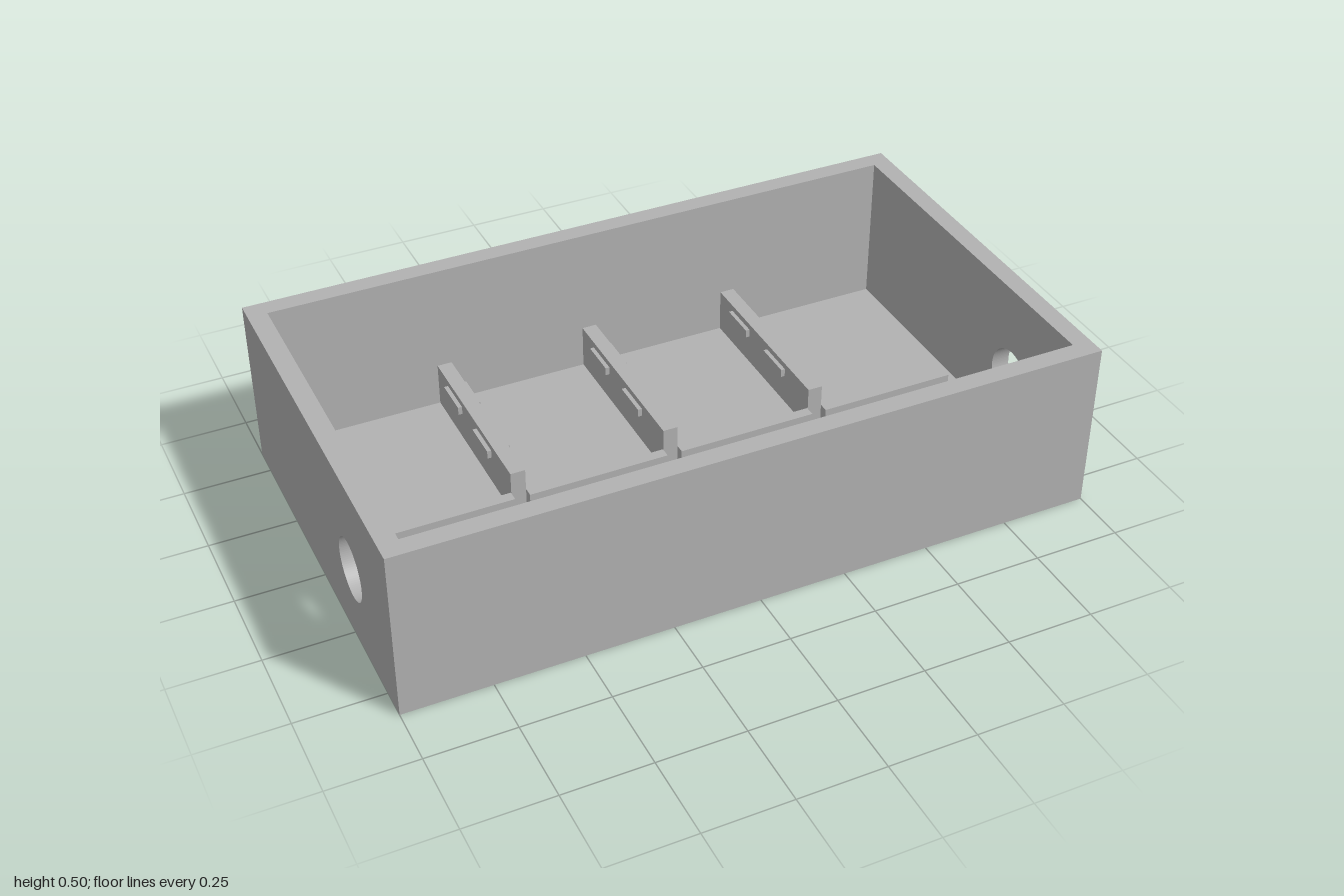
import * as THREE from 'three';

const W = 2, D = 1.17, H = 0.5, T = 0.055; // outer size and wall thickness

export function createModel() {
  const model = new THREE.Group();
  model.name = 'openBox';
  const grey = new THREE.MeshStandardMaterial({ color: 0xb2b2b2 });
  grey.name = 'plain grey';

  const add = (name, geometry, x = 0, y = 0, z = 0) => {
    const mesh = new THREE.Mesh(geometry, grey);
    mesh.name = name;
    mesh.position.set(x, y, z);
    model.add(mesh);
    return mesh;
  };
  // Box given by its limits on each axis
  const block = (name, x0, x1, y0, y1, z0, z1) =>
    add(name, new THREE.BoxGeometry(x1 - x0, y1 - y0, z1 - z0), (x0 + x1) / 2, (y0 + y1) / 2, (z0 + z1) / 2);
  // Rectangular plate with round holes [x, y, radius]
  const plate = (x0, x1, y0, y1, holes) => {
    const shape = new THREE.Shape([[x0, y0], [x1, y0], [x1, y1], [x0, y1]].map(p => new THREE.Vector2(...p)));
    for (const [x, y, r] of holes) shape.holes.push(new THREE.Path().absarc(x, y, r, 0, Math.PI * 2, true));
    return new THREE.ExtrudeGeometry(shape, { depth: T, bevelEnabled: false, curveSegments: 48 });
  };

  // Floor with two countersunk screw holes
  const screwX = 0.645, screwZ = 0.29, rTop = 0.124, rBottom = 0.067;
  const inX = W / 2 - T, inZ = D / 2 - T;
  const floor = plate(-inX, inX, -inZ, inZ, [[-screwX, -screwZ, rTop], [screwX, -screwZ, rTop]]);
  add('floor', floor.rotateX(-Math.PI / 2));
  for (const x of [-screwX, screwX]) {
    const cone = [new THREE.Vector2(rTop, T), new THREE.Vector2(rBottom, 0)];
    add('countersink', new THREE.LatheGeometry(cone, 48), x, 0, screwZ);
    add('countersinkUnderside', new THREE.RingGeometry(rBottom, rTop, 48).rotateX(Math.PI / 2), x, 0, screwZ);
  }

  // Side walls, each with a round cable hole
  for (const [name, x] of [['rightWall', -W / 2], ['leftWall', inX]]) {
    const wall = plate(-D / 2, D / 2, 0, H, [[-0.265, 0.222, 0.0875]]);
    add(name, wall.rotateY(Math.PI / 2), x);
  }
  block('frontWall', -inX, inX, 0, H, inZ, D / 2);
  block('backWall', -inX, inX, 0, H, -D / 2, -inZ);

  // Dividers with small grip ridges on both faces
  const half = 0.0215, dividers = [-0.454, 0, 0.454];
  for (const x of dividers) {
    block('divider', x - half, x + half, T, 0.185, -inZ, 0.03);
    for (const z of [-0.392, -0.168])
      for (const s of [-1, 1])
        add('gripRidge', new THREE.BoxGeometry(0.012, 0.024, 0.112), x + s * (half + 0.006), 0.155, z);
  }

  // Low stop ledge in front of the bays
  const ends = [-0.882, ...dividers, 0.882];
  for (let i = 0; i < 4; i++) {
    const x0 = ends[i] + (i > 0 ? half : 0), x1 = ends[i + 1] - (i < 3 ? half : 0);
    block('stopLedge', x0, x1, T, 0.12, 0.027, 0.058);
  }
  return model;
}
